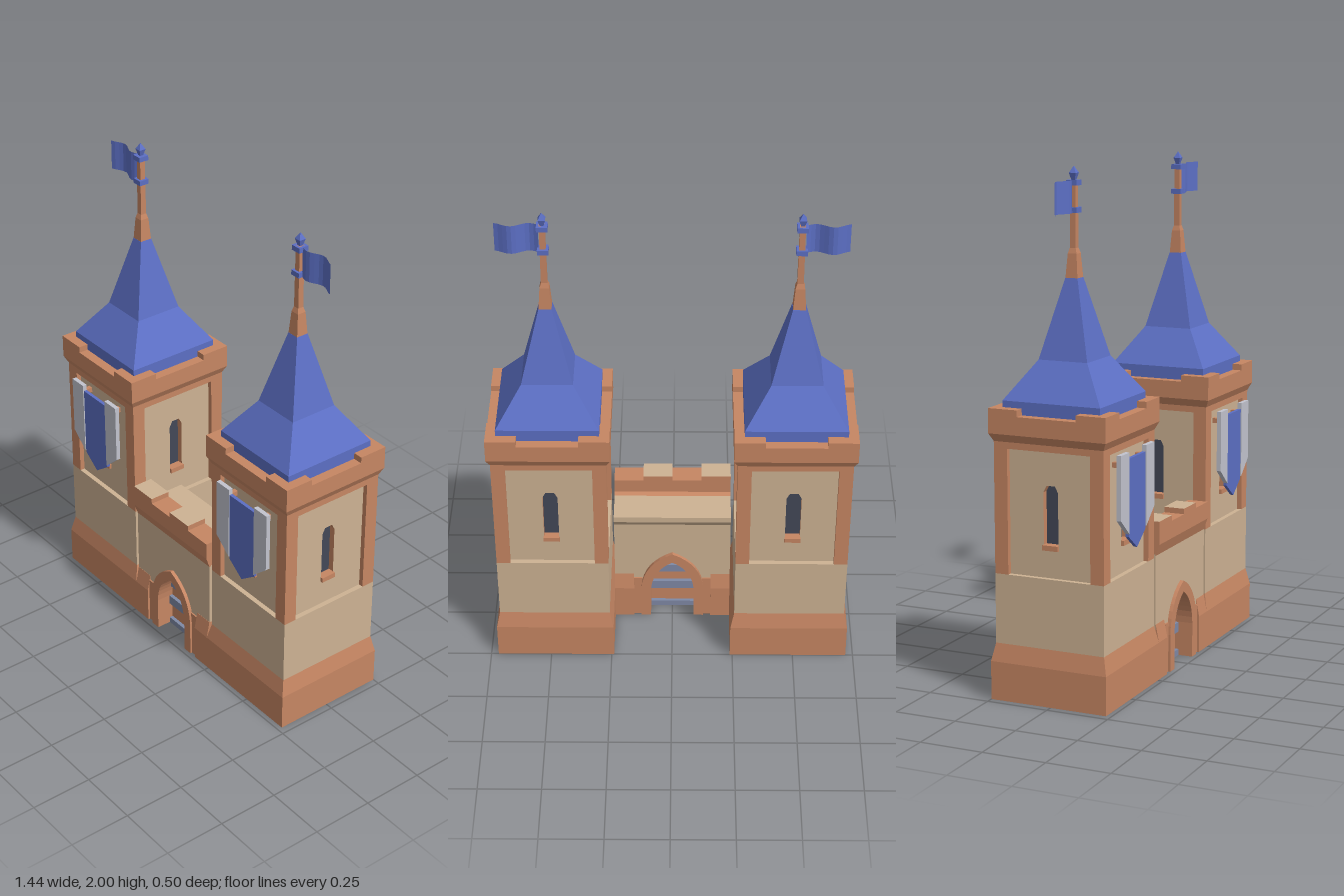
import * as THREE from 'three';

const mat = (name, color, side = THREE.FrontSide) => {
  const m = new THREE.MeshStandardMaterial({ color, side, flatShading: true });
  m.name = name;
  return m;
};

export function createModel() {
  const terracotta = mat('terracotta', 0xc68663);
  const sand = mat('sandstone', 0xcdb293);
  const blue = mat('blue', 0x5c6fc4, THREE.DoubleSide);
  const pale = mat('pale grey', 0xc2c4ce);
  const dark = mat('dark window', 0x434857);
  const steel = mat('steel', 0x7f89a6);

  const add = (parent, name, geometry, material, x = 0, y = 0, z = 0) => {
    const mesh = new THREE.Mesh(geometry, material);
    mesh.name = name;
    mesh.position.set(x, y, z);
    parent.add(mesh);
    return mesh;
  };
  const box = (w, h, d) => new THREE.BoxGeometry(w, h, d);
  // Square solid of stacked [half width, height] steps, closed at both ends
  const square = (steps) => {
    const pts = [[0, steps[0][1]], ...steps, [0, steps[steps.length - 1][1]]];
    return new THREE.LatheGeometry(
      pts.map(([r, y]) => new THREE.Vector2(r * Math.SQRT2, y)), 4, Math.PI / 4).toNonIndexed();
  };
  const poly = (pts) => new THREE.Shape(pts.map(([x, y]) => new THREE.Vector2(x, y)));
  const extrude = (shape, depth) =>
    new THREE.ExtrudeGeometry(shape, { depth, bevelEnabled: false, curveSegments: 8 });
  // Profile of [z, y] points swept along x, centred
  const sweepX = (pts, width) =>
    extrude(poly(pts), width).rotateY(-Math.PI / 2).translate(width / 2, 0, 0);

  // Pointed arch, drawn from the left foot to the right foot
  const archTo = (path, half, spring, top) => {
    const ctrl = spring + (top - spring) * 0.72;
    path.lineTo(-half, 0);
    path.lineTo(-half, spring);
    path.quadraticCurveTo(-half * 0.94, ctrl, 0, top);
    path.quadraticCurveTo(half * 0.94, ctrl, half, spring);
    path.lineTo(half, 0);
  };

  // Wall panel with a narrow window
  const panelShape = poly([[-0.175, 0.485], [0.175, 0.485], [0.175, 0.975], [-0.175, 0.975]]);
  panelShape.holes.push(poly([[-0.03, 0.6], [-0.03, 0.815], [-0.017, 0.84],
    [0.017, 0.84], [0.03, 0.815], [0.03, 0.6]]));
  const panelGeo = extrude(panelShape, 0.025);

  const createTower = (side) => {
    const tower = new THREE.Group();
    tower.name = side > 0 ? 'leftTower' : 'rightTower';
    tower.position.set(side * 0.48, 0, -0.01);

    add(tower, 'base', square([[0.24, 0], [0.24, 0.15], [0.225, 0.22]]), terracotta);
    add(tower, 'lowerWall', square([[0.225, 0.22], [0.225, 0.49]]), sand);
    add(tower, 'windowDarkness', square([[0.18, 0.485], [0.18, 0.98]]), dark);
    add(tower, 'cornice', square([[0.225, 0.97], [0.225, 0.995], [0.24, 1.025], [0.24, 1.095]]), terracotta);

    // Four sides: panel, sill, corner pillar, corner battlement
    for (let i = 0; i < 4; i++) {
      const face = new THREE.Group();
      face.name = 'towerFace';
      face.rotation.y = i * Math.PI / 2;
      tower.add(face);
      add(face, 'panel', panelGeo, [sand, terracotta], 0, 0, 0.18);
      add(face, 'windowSill', box(0.064, 0.02, 0.034), terracotta, 0, 0.606, 0.199);
      add(face, 'cornerPillar', box(0.055, 0.48, 0.055), terracotta, 0.1975, 0.73, 0.1975);
      add(face, 'cornerBattlement', box(0.12, 0.03, 0.12), terracotta, 0.18, 1.105, 0.18);
    }

    // Steep flared roof and mast
    add(tower, 'roof', square([[0.2, 1.09], [0.2, 1.145], [0.1, 1.29], [0.025, 1.59]]), blue);
    add(tower, 'mast', square([[0.025, 1.585], [0.018, 1.68], [0.012, 1.7], [0.011, 1.95]]), terracotta);
    for (const y of [1.84, 1.94]) add(tower, 'mastRing', box(0.042, 0.02, 0.042), blue, 0, y, 0);
    add(tower, 'finial', square([[0.007, 1.95], [0.014, 1.976], [0.001, 2]]), blue);

    // Rippling flag, flying outwards
    const flagGeo = new THREE.PlaneGeometry(0.165, 0.12, 10, 1);
    const p = flagGeo.attributes.position;
    for (let i = 0; i < p.count; i++) {
      const t = p.getX(i) / 0.165 + 0.5;
      p.setZ(i, 0.012 * Math.sin((side > 0 ? t : 1 - t) * Math.PI * 2.4));
    }
    flagGeo.computeVertexNormals();
    add(tower, 'flag', flagGeo, blue, side * 0.0975, 1.89, 0);

    // Hanging banner
    const banner = new THREE.Group();
    banner.name = 'banner';
    tower.add(banner);
    add(banner, 'bannerCentre', extrude(poly([[-0.075, 0.645], [0, 0.59], [0.075, 0.645],
      [0.075, 0.94], [-0.075, 0.94]]), 0.014), blue, 0, 0, 0.242);
    for (const s of [-1, 1]) {
      const pts = [[s * 0.075, 0.655], [s * 0.15, 0.72], [s * 0.15, 0.965], [s * 0.075, 0.965]];
      add(banner, 'bannerEdge', extrude(poly(pts), 0.018), pale, 0, 0, 0.242);
      add(banner, 'bannerBracket', box(0.02, 0.02, 0.05), terracotta, s * 0.1, 0.92, 0.22);
    }
    return tower;
  };

  const createGate = () => {
    const gate = new THREE.Group();
    gate.name = 'gatehouse';

    // Wall with an arched passage
    const wall = new THREE.Shape();
    wall.moveTo(-0.24, 0);
    archTo(wall, 0.125, 0.15, 0.335);
    wall.lineTo(0.24, 0);
    wall.lineTo(0.24, 0.5);
    wall.lineTo(-0.24, 0.5);
    add(gate, 'wall', extrude(wall, 0.21), sand, 0, 0, 0.005);
    add(gate, 'walkway', sweepX([[0.005, 0.49], [0.14, 0.49], [0.14, 0.54], [-0.01, 0.54], [-0.01, 0.515]], 0.48), sand);

    // Stone arch surround
    const ring = new THREE.Shape();
    ring.moveTo(-0.09, 0);
    archTo(ring, 0.13, 0.15, 0.34);
    ring.lineTo(0.09, 0);
    ring.lineTo(0.09, 0.14);
    ring.quadraticCurveTo(0.085, 0.25, 0, 0.295);
    ring.quadraticCurveTo(-0.085, 0.25, -0.09, 0.14);
    add(gate, 'archSurround', extrude(ring, 0.24), terracotta, 0, 0, -0.01);

    // Door with steel bands
    const door = new THREE.Shape();
    door.moveTo(-0.092, 0);
    archTo(door, 0.092, 0.14, 0.297);
    add(gate, 'door', extrude(door, 0.09), terracotta, 0, 0, 0.065);
    for (const [y, h, w] of [[0.0125, 0.025, 0.18], [0.118, 0.04, 0.18], [0.21, 0.035, 0.16]]) {
      add(gate, 'doorBand', box(w, h, 0.12), steel, 0, y, 0.11);
    }

    // Sloped footings beside the arch
    const footing = [[-0.01, 0], [0.23, 0], [0.23, 0.15], [0.216, 0.22], [0.004, 0.22], [-0.01, 0.15]];
    for (const s of [-1, 1]) {
      add(gate, 'footing', sweepX(footing, 0.08), terracotta, s * 0.2, 0, 0);
      add(gate, 'footingInset', box(0.035, 0.2, 0.222), terracotta, s * 0.1425, 0.1, 0.11);
    }

    // Overhanging parapet with alternate merlons
    add(gate, 'parapet', sweepX([[0.13, 0.495], [0.215, 0.495], [0.23, 0.54], [0.23, 0.61],
      [0.145, 0.61], [0.145, 0.55], [0.13, 0.54]], 0.48), terracotta);
    const faces = [terracotta, terracotta, sand, terracotta, terracotta, terracotta];
    for (const x of [-0.18, 0.06]) add(gate, 'merlon', box(0.12, 0.024, 0.085), faces, x, 0.62, 0.1875);
    return gate;
  };

  const castle = new THREE.Group();
  castle.name = 'castleGate';
  castle.add(createTower(-1), createTower(1), createGate());
  return castle;
}
